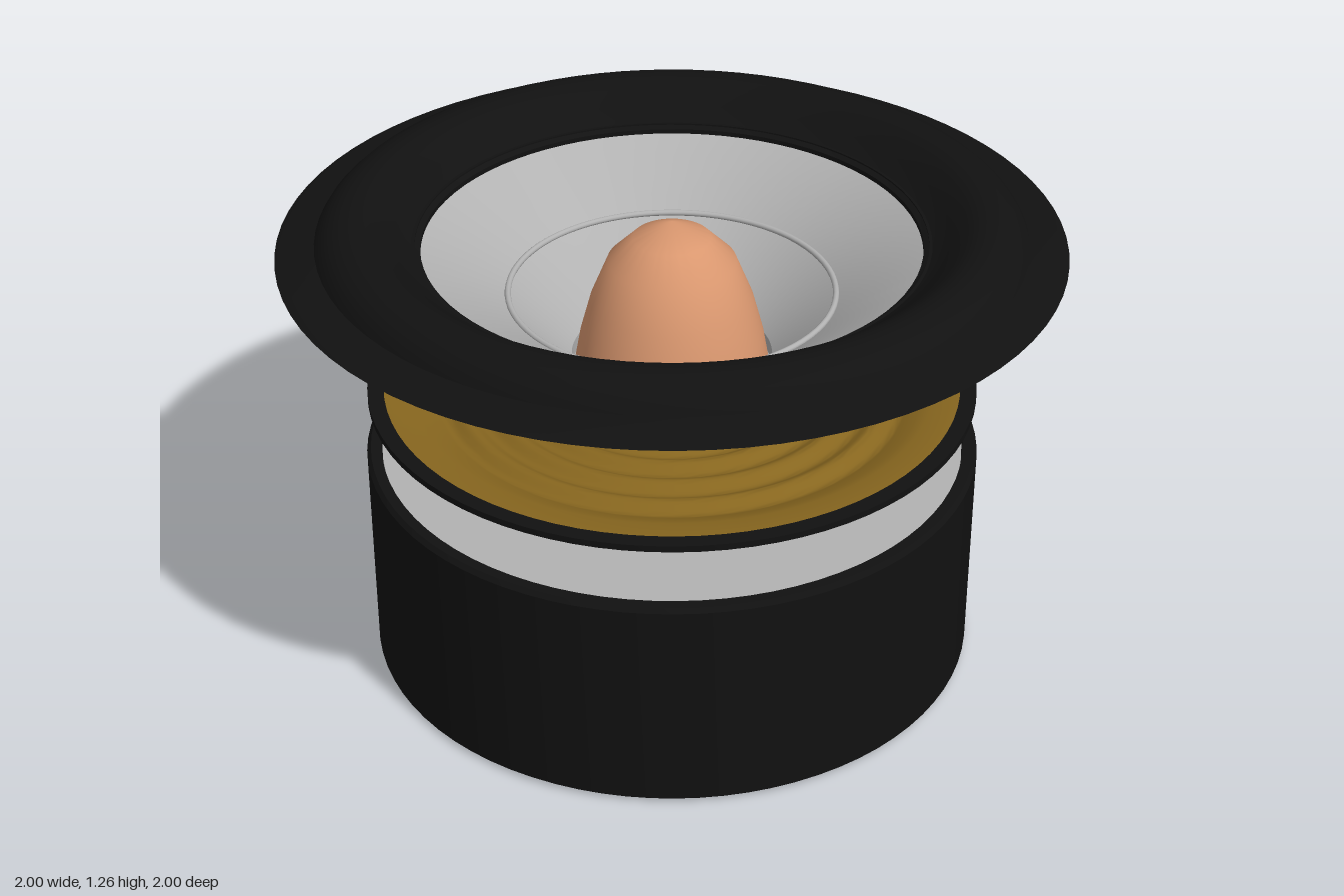
import * as THREE from 'three';
import { toCreasedNormals } from 'three/addons/utils/BufferGeometryUtils.js';

const mat = (name, color, side = THREE.FrontSide) => {
  const m = new THREE.MeshStandardMaterial({ color, side });
  m.name = name;
  return m;
};

export function createModel() {
  const black = mat('black rubber', 0x111111);
  const silver = mat('silver', 0xb2b2b2);
  const copper = mat('copper', 0xd9976f);
  const gold = mat('amber cloth', 0x87661f, THREE.DoubleSide);
  const red = mat('red board', 0xc40c0c);
  const metal = mat('terminal metal', 0x8f8f8f);

  const model = new THREE.Group();
  const add = (name, geometry, material, parent = model) => {
    const mesh = new THREE.Mesh(geometry, material);
    mesh.name = name;
    parent.add(mesh);
    return mesh;
  };
  // Turned part; profile runs bottom to top along its outside
  const turned = (name, points, material, crease = 0.6) => {
    const g = new THREE.LatheGeometry(points.map(([r, y]) => new THREE.Vector2(r, y)), 80);
    return add(name, toCreasedNormals(g, crease), material);
  };
  const vectors = (points) => points.map((p) => new THREE.Vector3(...p));
  const tube = (name, points, radius, material, closed = false, parent = model) =>
    add(name, new THREE.TubeGeometry(
      new THREE.CatmullRomCurve3(vectors(points), closed), 32, radius, 12, closed), material, parent);

  // Magnet pot with a vent recess underneath and a shallow rim on top
  turned('magnet', [
    [0, 0.03], [0.25, 0.03], [0.28, 0], [0.79, 0], [0.803, 0.012], [0.803, 0.58],
    [0.793, 0.592], [0.765, 0.592], [0.765, 0.565], [0, 0.565],
  ], black);
  turned('topPlate', [
    [0.3, 0.56], [0.763, 0.56], [0.763, 0.584], [0.3, 0.584], [0.3, 0.56],
  ], silver);

  // Voice coil tube between magnet and cone
  turned('voiceCoil', [
    [0.258, 0.56], [0.27, 0.56], [0.27, 0.8], [0.258, 0.8], [0.258, 0.56],
  ], silver);

  // Bullet-shaped centre plug
  turned('centrePlug', [
    [0.255, 0.57], [0.255, 0.8], [0.237, 0.9], [0.21, 1.0], [0.165, 1.11],
    [0.1, 1.175], [0, 1.22],
  ], copper, 0.9);

  // Corrugated suspension disc with its black rim
  const ripple = [];
  for (let i = 0; i <= 48; i++) {
    const r = 0.27 + (0.35 * i) / 48;
    ripple.push([r, 0.735 + 0.009 * Math.sin((i / 48) * Math.PI * 8)]);
  }
  ripple.push([0.65, 0.748], [0.68, 0.76], [0.755, 0.762]);
  turned('suspensionDisc', ripple, gold, 1.2);
  turned('suspensionRim', [
    [0.75, 0.753], [0.792, 0.753], [0.792, 0.77], [0.75, 0.77], [0.75, 0.753],
  ], black);
  turned('suspensionCollar', [
    [0.268, 0.73], [0.29, 0.73], [0.29, 0.75], [0.268, 0.75],
  ], silver);

  // Cone: straight outside, shallower inside with a raised ring
  turned('cone', [
    [0.26, 0.79], [0.27, 0.79], [0.645, 1.16], [0.635, 1.155], [0.42, 1.02],
    [0.26, 0.84], [0.26, 0.79],
  ], silver, 0.4);
  const ring = add('coneRing', new THREE.TorusGeometry(0.42, 0.008, 10, 80), silver);
  ring.rotation.x = Math.PI / 2;
  ring.position.y = 1.025;

  // Rolled surround above a thin mounting flange
  turned('surround', [
    [0.636, 1.155], [0.655, 1.158], [0.71, 1.198], [0.9, 1.198], [0.888, 1.218],
    [0.865, 1.24], [0.835, 1.255], [0.8, 1.261], [0.77, 1.258], [0.74, 1.244],
    [0.7, 1.21], [0.67, 1.185], [0.636, 1.168], [0.636, 1.155],
  ], black, 0.7);
  turned('flange', [
    [0.65, 1.163], [0.98, 1.163], [1, 1.171], [0.98, 1.179], [0.65, 1.179], [0.65, 1.163],
  ], black);

  // Lead wires and their black sleeves
  tube('nearWire', [
    [0.27, 0.755, 0], [0.33, 0.785, -0.04], [0.46, 0.85, -0.1], [0.58, 0.89, -0.15],
    [0.71, 0.895, -0.2],
  ], 0.022, copper);
  tube('farWire', [
    [0.24, 0.77, -0.12], [0.3, 0.83, -0.18], [0.39, 0.89, -0.28], [0.48, 0.91, -0.39],
    [0.57, 0.902, -0.47],
  ], 0.022, copper);
  const sleeve = (name, from, to) => {
    const [a, b] = vectors([from, to]);
    const m = add(name, new THREE.CylinderGeometry(0.03, 0.03, a.distanceTo(b), 16), black);
    m.position.copy(a).lerp(b, 0.5);
    m.quaternion.setFromUnitVectors(new THREE.Vector3(0, 1, 0), b.sub(a).normalize());
  };
  sleeve('nearSleeve', [0.69, 0.9, -0.19], [0.82, 0.873, -0.28]);
  sleeve('farSleeve', [0.55, 0.905, -0.46], [0.685, 0.88, -0.53]);

  // Terminal board, facing outward and leaning
  const board = new THREE.Group();
  board.name = 'terminalBoard';
  board.position.set(0.755, 0.873, -0.41);
  board.rotation.set(0.25, 2.06, 0, 'YXZ');
  model.add(board);
  add('boardPlate', new THREE.BoxGeometry(0.42, 0.125, 0.022), red, board);
  add('boardEyelet', new THREE.TorusGeometry(0.03, 0.012, 10, 24), metal, board)
    .position.z = 0.014;
  for (const x of [-0.135, 0.135]) {
    add('solderLug', new THREE.BoxGeometry(0.075, 0.08, 0.014), metal, board)
      .position.set(x, 0.005, 0.017);
    add('lugNeck', new THREE.BoxGeometry(0.05, 0.05, 0.012), metal, board)
      .position.set(x, -0.045, 0.018);
    tube('lugLoop', [
      [x - 0.022, -0.055, 0.02], [x - 0.024, -0.11, 0.052], [x, -0.143, 0.072],
      [x + 0.024, -0.11, 0.052], [x + 0.022, -0.055, 0.02],
    ], 0.009, metal, true, board);
  }
  return model;
}
